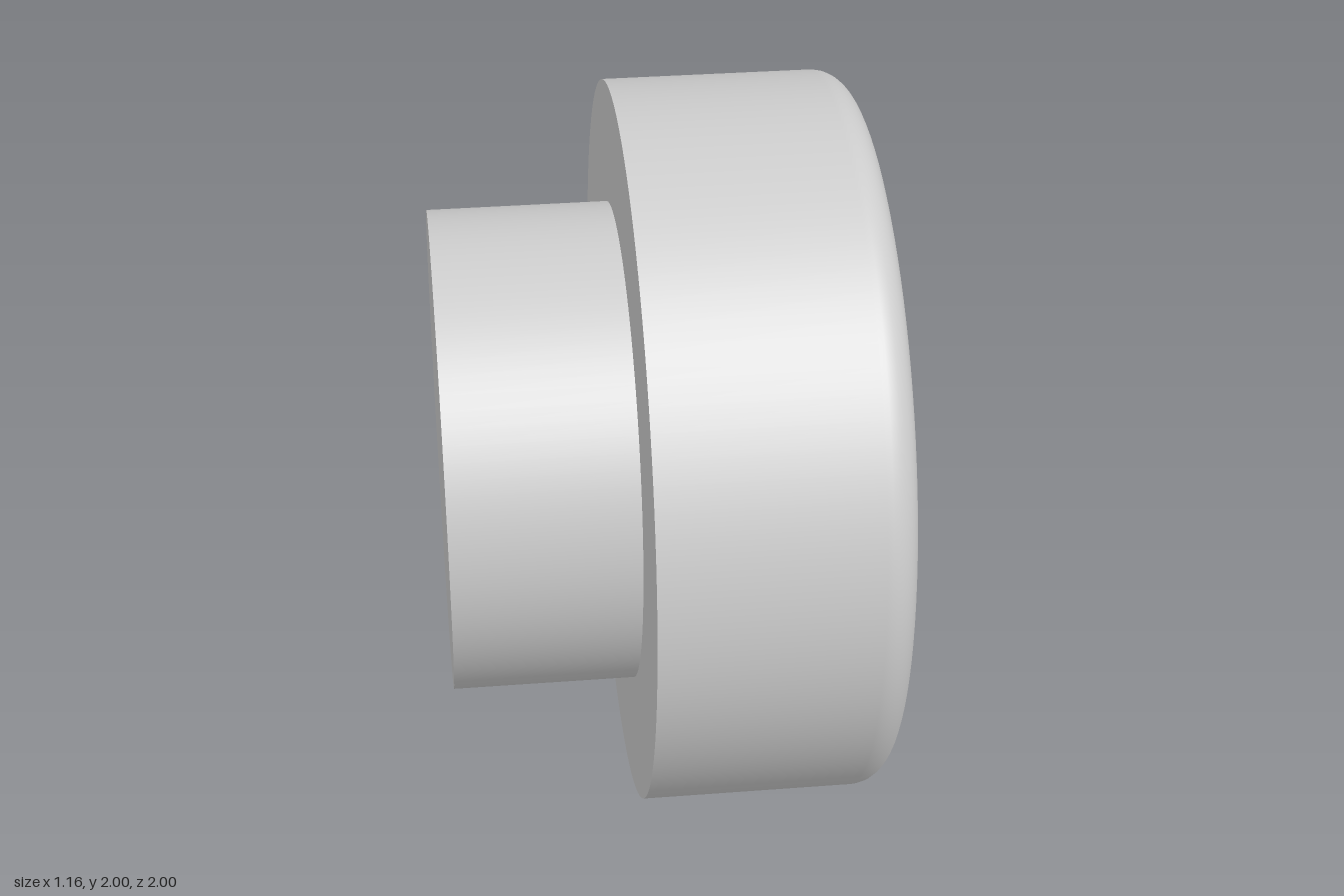
import * as THREE from 'three';

const material = new THREE.MeshStandardMaterial({ color: 0xcccccc });
const HEX_TILT = THREE.MathUtils.degToRad(1.2);
const END = -0.585, SEAT = -0.085, FACE = 0.58;   // stations along x
const SHANK_R = 0.665, HEAD_R = 1, FILLET = 0.09;

// Surface of revolution about the x axis from [radius, x] pairs
function turned(name, profile) {
  const geometry = new THREE.LatheGeometry(profile.map(([r, x]) => new THREE.Vector2(r, x)), 96);
  geometry.rotateZ(-Math.PI / 2);
  const mesh = new THREE.Mesh(geometry, material);
  mesh.name = name;
  return mesh;
}

function hexPoint(radius, i) {
  const a = HEX_TILT + (i * Math.PI) / 3;
  return new THREE.Vector2(radius * Math.cos(a), radius * Math.sin(a));
}

// Hexagonal recess: softened lip, straight walls and floor sharing smooth normals
function socketGeometry(rings) {
  const positions = [], index = [];
  for (const [radius, z] of rings) {
    for (let i = 0; i < 6; i++) {
      const p = hexPoint(radius, i);
      positions.push(p.x, p.y, z);
    }
  }
  const center = rings.length * 6;
  positions.push(0, 0, rings[rings.length - 1][1]);
  for (let i = 0; i < 6; i++) {
    const j = (i + 1) % 6;
    for (let k = 0; k < rings.length - 1; k++) {
      const a = k * 6 + i, b = k * 6 + j;
      index.push(a, b, a + 6, b, b + 6, a + 6);
    }
    index.push(center - 6 + i, center - 6 + j, center);
  }
  const geometry = new THREE.BufferGeometry();
  geometry.setAttribute('position', new THREE.Float32BufferAttribute(positions, 3));
  geometry.setIndex(index);
  geometry.computeVertexNormals();
  return geometry;
}

export function createModel() {
  const model = new THREE.Group();
  model.name = 'hexSocketScrew';

  // Shank
  model.add(turned('shankEnd', [[0, END], [SHANK_R, END]]));
  model.add(turned('shankSide', [[SHANK_R, END], [SHANK_R, SEAT]]));

  // Head underside, then side with rounded front edge
  model.add(turned('headUnderside', [[SHANK_R, SEAT], [HEAD_R, SEAT]]));
  const side = [[HEAD_R, SEAT]];
  for (let i = 0; i <= 10; i++) {
    const a = (i / 10) * Math.PI / 2;
    side.push([HEAD_R - FILLET + FILLET * Math.cos(a), FACE - FILLET + FILLET * Math.sin(a)]);
  }
  model.add(turned('headSide', side));

  // Flat face with hexagonal opening
  const lip = 0.6;
  const disc = new THREE.Shape().absarc(0, 0, HEAD_R - FILLET, 0, Math.PI * 2);
  disc.holes.push(new THREE.Path([5, 4, 3, 2, 1, 0].map((i) => hexPoint(lip, i))));
  const face = new THREE.Mesh(new THREE.ShapeGeometry(disc, 48), material);
  face.name = 'headFace';

  // Recess
  const socket = new THREE.Mesh(socketGeometry([[lip, 0], [0.585, -0.015], [0.585, -0.45]]), material);
  socket.name = 'hexSocket';

  for (const part of [face, socket]) {
    part.rotation.y = Math.PI / 2;
    part.position.x = FACE;
    model.add(part);
  }

  for (const part of model.children) part.position.y = 1;
  return model;
}
